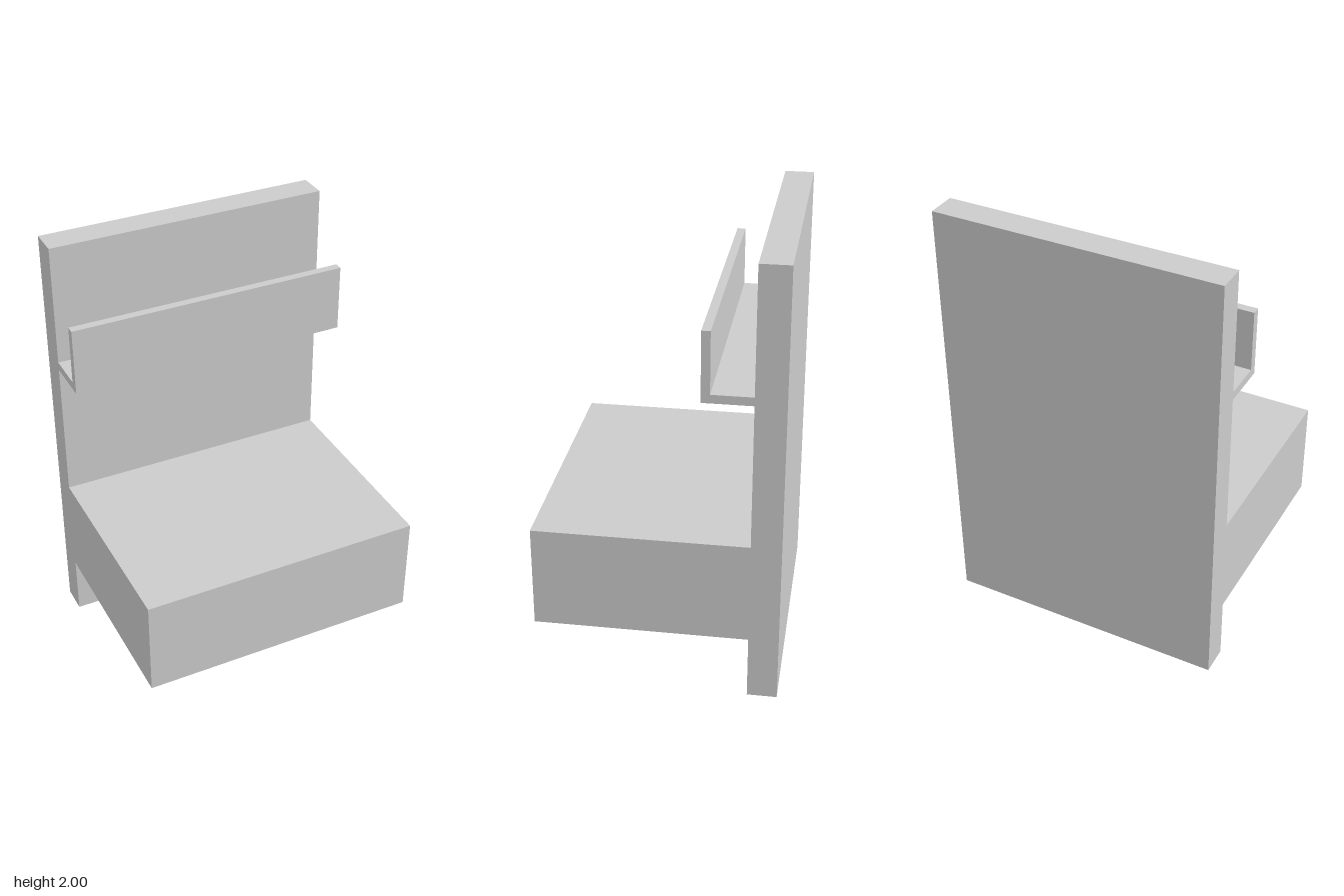
import * as THREE from 'three';

const WIDTH = 1.29;

export function createModel() {
  const group = new THREE.Group();
  const material = new THREE.MeshStandardMaterial({ color: 0xcccccc, flatShading: true });

  // Extrudes a side profile of [z, y] corners across the full width
  function addPart(name, profile) {
    const shape = new THREE.Shape(profile.map(([z, y]) => new THREE.Vector2(-z, y)));
    const geometry = new THREE.ExtrudeGeometry(shape, { depth: WIDTH, bevelEnabled: false });
    geometry.translate(0, 0, -WIDTH / 2).rotateY(Math.PI / 2);
    const mesh = new THREE.Mesh(geometry, material);
    mesh.name = name;
    group.add(mesh);
  }

  // Upright back panel
  addPart('backPanel', [[-0.54, 0], [-0.408, 0], [-0.408, 2], [-0.54, 2]]);

  // Deep solid block projecting forward near the bottom
  addPart('shelfBlock', [[-0.408, 0.29], [0.537, 0.29], [0.537, 0.752], [-0.408, 0.752]]);

  // L-shaped rail: thin floor with an upturned lip
  addPart('rail', [
    [-0.408, 1.405], [-0.192, 1.405], [-0.192, 1.715],
    [-0.23, 1.715], [-0.23, 1.443], [-0.408, 1.443],
  ]);

  return group;
}
